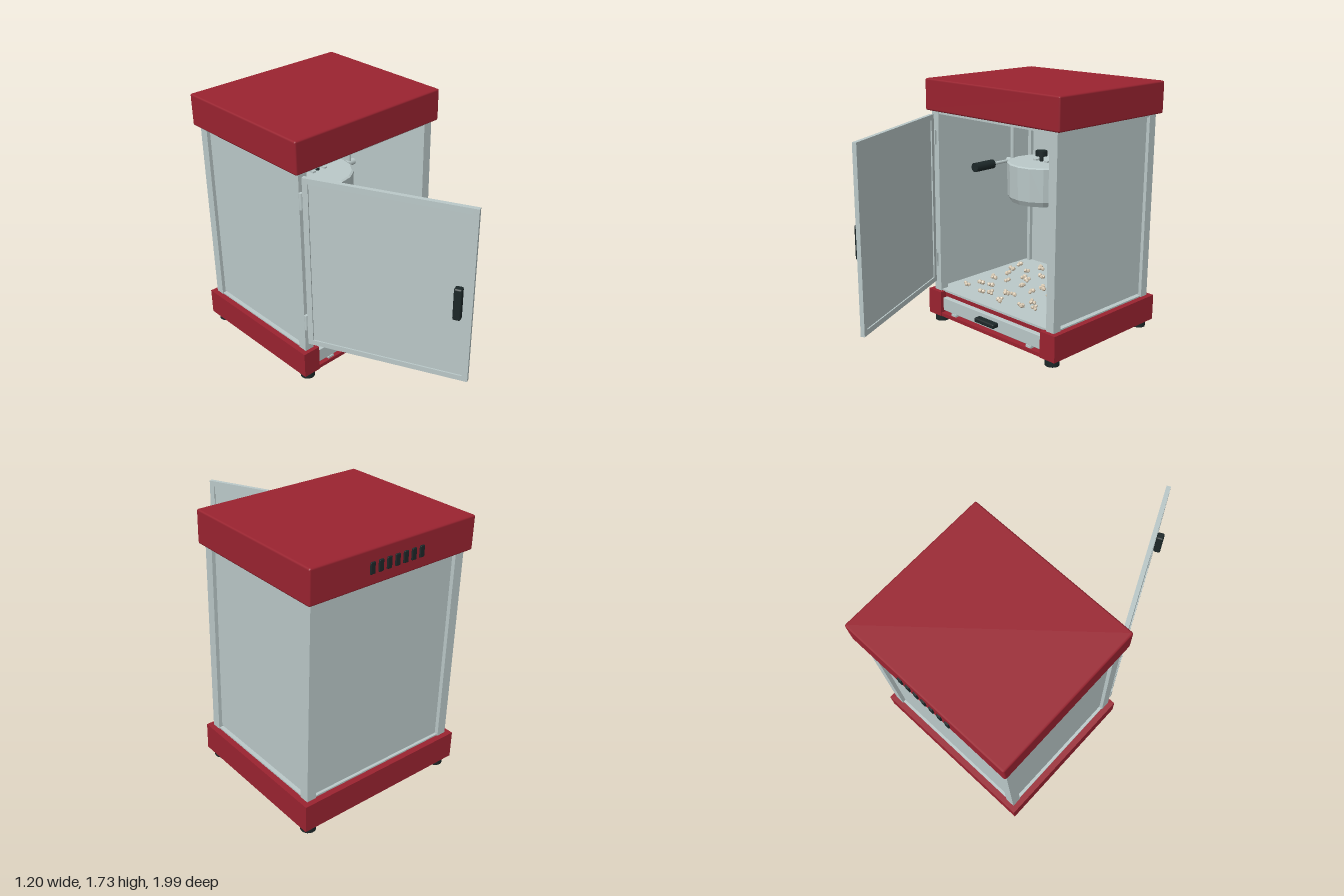
import * as THREE from 'three';
import { mergeGeometries } from 'three/addons/utils/BufferGeometryUtils.js';
import { RoundedBoxGeometry } from 'three/addons/geometries/RoundedBoxGeometry.js';

const material = (name, color) => Object.assign(new THREE.MeshStandardMaterial({ color }), { name });

export function createModel() {
  const model = new THREE.Group();
  model.name = 'popcornMachine';
  const red = material('red enamel', 0x9a2330);
  const metal = material('pale metal', 0xbac8c8);
  const black = material('black plastic', 0x1c2728);
  const cream = material('cream', 0xd8c9b2);

  const add = (name, geo, mat, x, y, z, parent = model) => {
    const mesh = new THREE.Mesh(geo, mat);
    mesh.name = name;
    mesh.position.set(x, y, z);
    parent.add(mesh);
    return mesh;
  };
  // Box given by its lower and upper limits, optionally with bevelled edges
  const box = (name, mat, [x0, x1], [y0, y1], [z0, z1], bevel = 0, parent = model) => {
    const size = [x1 - x0, y1 - y0, z1 - z0];
    const geo = bevel ? new RoundedBoxGeometry(...size, 1, bevel) : new THREE.BoxGeometry(...size);
    return add(name, geo, mat, (x0 + x1) / 2, (y0 + y1) / 2, (z0 + z1) / 2, parent);
  };
  const rod = (name, mat, r, length, x, y, z, axis = 'y', sides = 12) => {
    const geo = new THREE.CylinderGeometry(r, r, length, sides);
    if (axis === 'x') geo.rotateZ(Math.PI / 2);
    if (axis === 'z') geo.rotateX(Math.PI / 2);
    return add(name, geo, mat, x, y, z);
  };

  // Roof with rear vents
  box('roof', red, [-0.6, 0.6], [1.51, 1.725], [-0.99, 0.045], 0.012);
  for (let i = -3; i <= 3; i++) {
    box('vent', black, [i * 0.06 - 0.016, i * 0.06 + 0.016], [1.58, 1.65], [-1, -0.985], 0.004);
  }

  // Base: plan outline with a notch for the drawer
  const plan = new THREE.Shape([
    [-0.6, -0.045], [-0.475, -0.045], [-0.475, 0.03], [0.475, 0.03],
    [0.475, -0.045], [0.6, -0.045], [0.6, 0.99], [-0.6, 0.99],
  ].map(([x, y]) => new THREE.Vector2(x, y)));
  const baseGeo = new THREE.ExtrudeGeometry(plan, { depth: 0.18, bevelEnabled: false });
  baseGeo.rotateX(-Math.PI / 2);
  add('base', baseGeo, red, 0, 0.05, 0);
  box('baseLip', red, [-0.476, 0.476], [0.05, 0.075], [-0.04, 0.04]);
  box('drawerRecess', red, [-0.476, 0.476], [0.075, 0.22], [-0.04, -0.005]);
  box('floor', metal, [-0.56, 0.56], [0.225, 0.24], [-0.95, 0.005]);

  // Drawer
  box('drawerFront', metal, [-0.466, 0.466], [0.095, 0.19], [-0.01, 0.03], 0.004);
  box('drawerHandle', black, [-0.092, 0.092], [0.133, 0.166], [0.03, 0.085], 0.01);
  for (const s of [-1, 1]) {
    box('drawerRunner', metal, [s * 0.36 - 0.023, s * 0.36 + 0.023], [0.075, 0.09], [-0.01, 0.03]);
  }

  // Feet, corner posts, side panels and top rails
  for (const s of [-1, 1]) {
    for (const z of [-0.015, -0.925]) {
      rod('foot', black, 0.048, 0.05, s * 0.53, 0.025, z, 'y', 16);
      box('cornerPost', metal, [s * 0.533 - 0.032, s * 0.533 + 0.032], [0.225, 1.515], [z - 0.032, z + 0.032]);
    }
    box('sidePanel', metal, [s * 0.535 - 0.006, s * 0.535 + 0.006], [0.25, 1.5], [-0.9, -0.04]);
    box('sideRail', metal, [s * 0.533 - 0.025, s * 0.533 + 0.025], [1.49, 1.515], [-0.9, -0.04]);
  }
  box('backPanel', metal, [-0.51, 0.51], [0.235, 1.51], [-0.932, -0.92]);
  for (const z of [-0.015, -0.925]) {
    box('crossRail', metal, [-0.51, 0.51], [1.49, 1.515], [z - 0.025, z + 0.025]);
  }

  // Open door on its hinges
  const door = new THREE.Group();
  door.name = 'door';
  door.position.set(-0.547, 0, 0.035);
  door.rotation.y = -THREE.MathUtils.degToRad(65);
  model.add(door);
  const width = 1.052, low = 0.3, high = 1.488, edge = 0.036, t = [-0.014, 0.014];
  box('doorPanel', metal, [0.02, width - 0.02], [low + 0.02, high - 0.02], [-0.005, 0.005], 0, door);
  box('doorStile', metal, [0, edge], [low, high], t, 0, door);
  box('doorStile', metal, [width - edge, width], [low, high], t, 0, door);
  box('doorRail', metal, [edge, width - edge], [low, low + edge], t, 0, door);
  box('doorRail', metal, [edge, width - edge], [high - edge, high], t, 0, door);
  box('doorHandle', black, [0.945, 0.995], [0.765, 0.98], [0.012, 0.06], 0.01, door);
  for (const y of [0.46, 1.33]) {
    box('hingePlate', metal, [-0.565, -0.525], [y - 0.05, y + 0.05], [0.01, 0.03]);
    rod('hingePin', metal, 0.013, 0.11, -0.557, y, 0.025);
  }

  // Kettle with lid and knob
  const potZ = -0.47;
  const profile = [[0, 0.905], [0.212, 0.905], [0.232, 0.94], [0.238, 1.165], [0.225, 1.172], [0, 1.172]];
  const potGeo = new THREE.LatheGeometry(profile.map(([x, y]) => new THREE.Vector2(x, y)), 16).toNonIndexed();
  potGeo.computeVertexNormals();
  add('kettle', potGeo, metal, 0, 0, potZ);
  for (const s of [-1, 1]) box('lidHinge', metal, [s * 0.05 - 0.013, s * 0.05 + 0.013], [1.168, 1.183], [potZ - 0.02, potZ + 0.02]);
  rod('knobStem', black, 0.013, 0.05, -0.005, 1.19, potZ);
  rod('knob', black, 0.04, 0.035, -0.005, 1.227, potZ, 'y', 16);

  // Hangers that carry the kettle
  for (const s of [-1, 1]) {
    rod('hanger', metal, 0.015, 0.39, s * 0.28, 1.32, potZ);
    rod('pivot', metal, 0.023, 0.1, s * 0.273, 1.13, potZ, 'x');
    box('kettleBracket', metal, [s * 0.24 - 0.015, s * 0.24 + 0.015], [1.09, 1.15], [potZ - 0.03, potZ + 0.03]);
  }
  // Tipping handle
  rod('tippingRod', metal, 0.011, 0.2, -0.31, 1.13, potZ + 0.1, 'z');
  rod('tippingGrip', black, 0.032, 0.17, -0.31, 1.13, potZ + 0.25, 'z');

  // Lamp
  rod('lampSocket', black, 0.051, 0.16, 0.365, 1.435, -0.45, 'y', 16);
  add('bulb', new THREE.SphereGeometry(0.071, 16, 12), cream, 0.365, 1.295, -0.45);

  // Popcorn scattered over the floor in uneven rows
  let seed = 7;
  const random = () => (seed = (seed * 16807) % 2147483647) / 2147483647;
  const kernels = [];
  for (let i = 0; i < 7; i++) {
    for (let j = 0; j < 6; j++) {
      const x = -0.4 + i * 0.135 + (random() - 0.5) * 0.09;
      const z = -0.76 + j * 0.125 + (random() - 0.5) * 0.08;
      const turn = random() * 6.28;
      for (let k = 0; k < 3; k++) {
        const a = turn + k * 2.1;
        const lobe = new THREE.IcosahedronGeometry(0.013 + random() * 0.006, 0);
        lobe.rotateX(a).rotateY(a * 2);
        lobe.translate(x + Math.cos(a) * 0.013, 0.256 + k * 0.006, z + Math.sin(a) * 0.013);
        kernels.push(lobe);
      }
    }
  }
  add('popcorn', mergeGeometries(kernels), cream, 0, 0, 0);

  return model;
}
